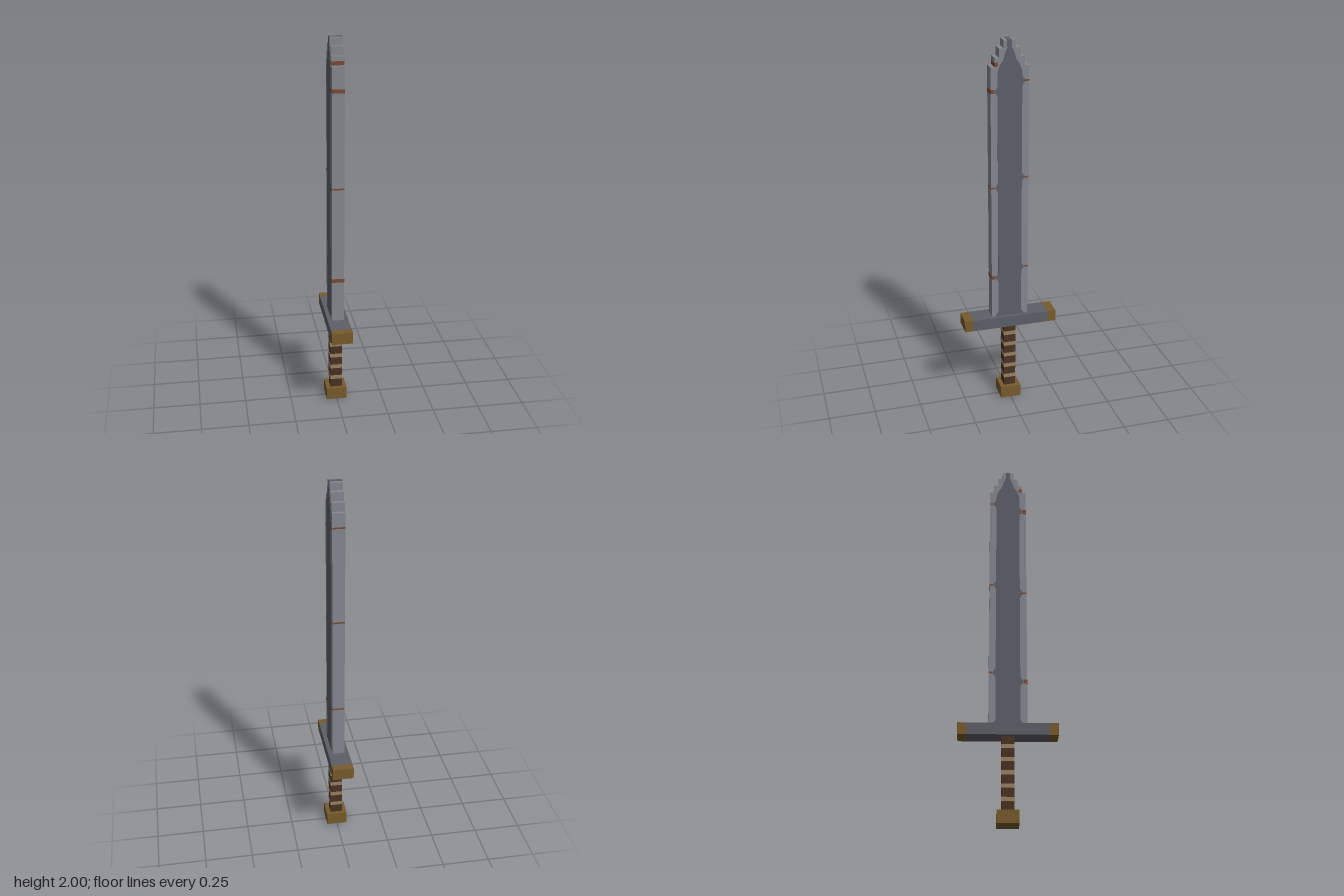
import * as THREE from 'three';

const paint = (name, color) => {
  const m = new THREE.MeshStandardMaterial({ color });
  m.name = name;
  return m;
};

export function createModel() {
  const edgeSteel = paint('light steel', 0x85878f);
  const coreSteel = paint('dark steel', 0x5d5f67);
  const brass = paint('aged brass', 0x775b2b);
  const rust = paint('rust', 0x7a4a33);
  const leather = paint('dark leather', 0x483322);
  const cord = paint('tan cord', 0x968062);

  const sword = new THREE.Group();
  sword.name = 'sword';

  const add = (name, geometry, material) => {
    const mesh = new THREE.Mesh(geometry, material);
    mesh.name = name;
    sword.add(mesh);
    return mesh;
  };
  // Box given by its width and its y and z ranges
  const box = (name, material, w, y0, y1, z0, z1) => {
    const mesh = add(name, new THREE.BoxGeometry(w, y1 - y0, z1 - z0), material);
    mesh.position.set(0, (y0 + y1) / 2, (z0 + z1) / 2);
    return mesh;
  };
  // Slab across x from a mirrored half outline of [z, y] points
  const slab = (name, material, half, width) => {
    const mirrored = half.map(([z, y]) => [-z, y]).reverse();
    const shape = new THREE.Shape([...half, ...mirrored].map(([z, y]) => new THREE.Vector2(z, y)));
    const g = new THREE.ExtrudeGeometry(shape, { depth: width, bevelEnabled: false });
    g.translate(0, 0, -width / 2).rotateY(-Math.PI / 2);
    return add(name, g, material);
  };

  // Blade with stepped tip
  slab('blade', edgeSteel, [
    [0.098, 0.505], [0.098, 1.87], [0.077, 1.87], [0.077, 1.915],
    [0.055, 1.915], [0.055, 1.96], [0.031, 1.96], [0.031, 1.998],
  ], 0.064);

  // Darker flat core, narrowing up to the tip
  slab('bladeCore', coreSteel, [
    [0.078, 0.506], [0.063, 0.53], [0.063, 1.84], [0.052, 1.875],
    [0.032, 1.905], [0.022, 1.94], [0.011, 1.965], [0.011, 2],
  ], 0.067);

  // Nicks along both edges: dark notch on the faces and a rust line on the edge
  const nicks = [
    [1, 0.737, 0.02], [1, 1.243, 0.008], [1, 1.748, 0.02],
    [-1, 0.785, 0.008], [-1, 1.29, 0.008], [-1, 1.795, 0.008],
  ];
  for (const [side, y, h] of nicks) {
    const span = (a, b) => (side > 0 ? [a, b] : [-b, -a]);
    box('notch', coreSteel, 0.0665, y - 0.022, y + 0.022, ...span(0.06, 0.068));
    box('notchPoint', coreSteel, 0.0665, y - 0.01, y + 0.01, ...span(0.066, 0.076));
    box('rustNick', rust, 0.066, y - h / 2, y + h / 2, ...span(0.078, 0.099));
  }
  box('rustStep', rust, 0.066, 1.872, 1.892, 0.06, 0.078);

  // Crossguard with brass ends
  box('crossguard', coreSteel, 0.11, 0.445, 0.506, -0.208, 0.208);
  box('guardEndFront', brass, 0.11, 0.445, 0.506, 0.208, 0.252);
  box('guardEndBack', brass, 0.11, 0.445, 0.506, -0.252, -0.208);

  // Grip with cord wraps, and pommel
  box('grip', leather, 0.064, 0.065, 0.445, -0.032, 0.032);
  for (let i = 0; i < 5; i++) {
    const y = 0.124 + i * 0.067;
    box('cordWrap', cord, 0.066, y - 0.011, y + 0.011, -0.033, 0.033);
  }
  box('pommel', brass, 0.11, 0, 0.066, -0.055, 0.055);

  return sword;
}
